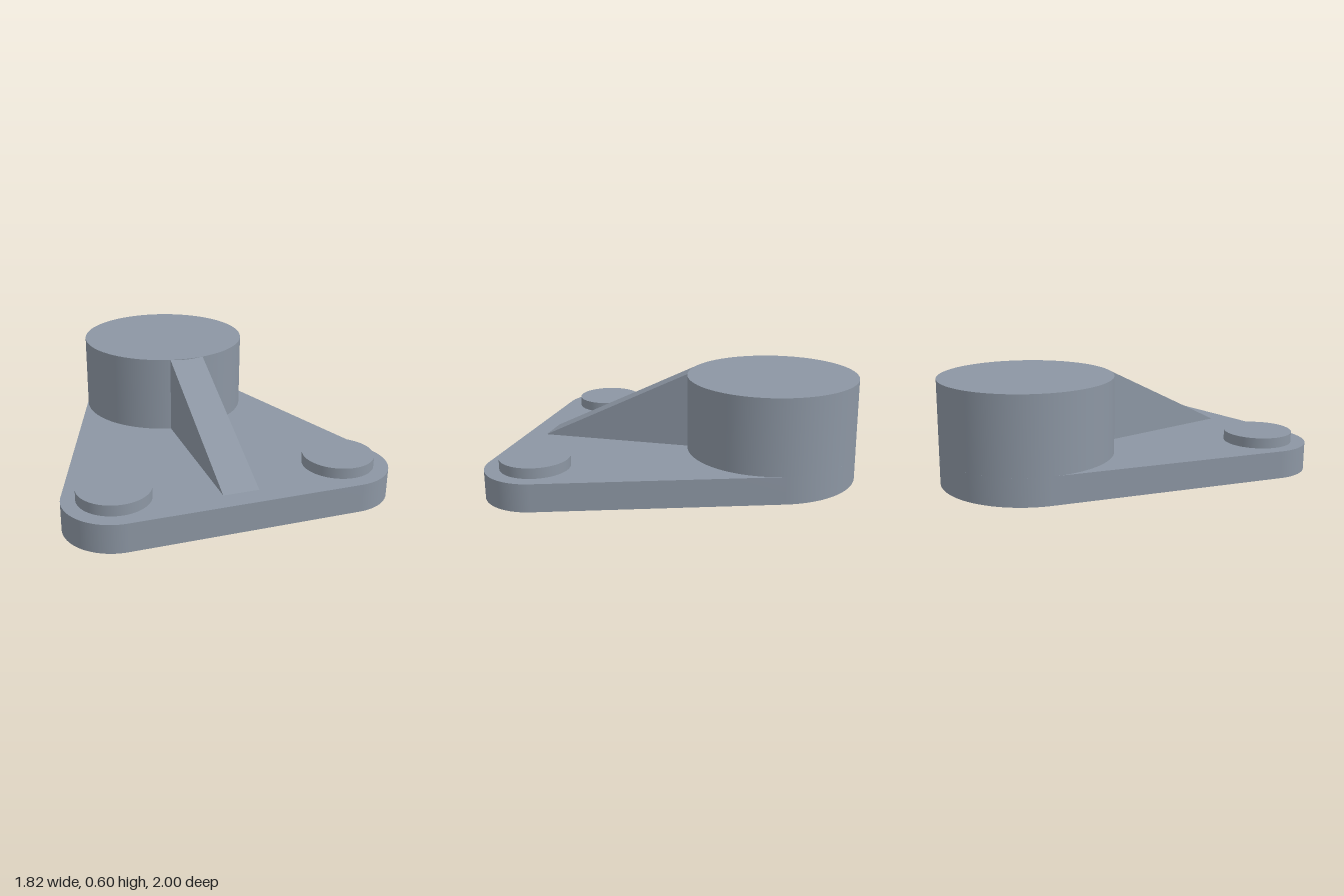
import * as THREE from 'three';
import { toCreasedNormals } from 'three/addons/utils/BufferGeometryUtils.js';

const BASE_H = 0.16, TOP = 0.6;
const HUB = { z: -0.505, r: 0.495 };
const CORNER = { x: 0.635, z: 0.725, r: 0.275 };

export function createModel() {
  const model = new THREE.Group();
  const steel = new THREE.MeshStandardMaterial({ color: 0x8c96a3 });
  steel.name = 'steel grey';

  const add = (name, geometry) => {
    const mesh = new THREE.Mesh(geometry, steel);
    mesh.name = name;
    model.add(mesh);
    return mesh;
  };
  const disc = (name, x, z, r, top) => {
    const h = top - BASE_H;
    add(name, new THREE.CylinderGeometry(r, r, h, 96)).position.set(x, BASE_H + h / 2, z);
  };

  // Base plate: one large and two small arcs joined by their tangents
  const dx = CORNER.x, dz = CORNER.z - HUB.z;
  const tilt = Math.acos((HUB.r - CORNER.r) / Math.hypot(dx, dz)) - Math.atan2(dz, dx);
  const outline = new THREE.Shape();
  outline.absarc(CORNER.x, -CORNER.z, CORNER.r, -Math.PI / 2, tilt);
  outline.absarc(0, -HUB.z, HUB.r, tilt, Math.PI - tilt);
  outline.absarc(-CORNER.x, -CORNER.z, CORNER.r, Math.PI - tilt, Math.PI * 1.5);
  const plate = new THREE.ExtrudeGeometry(outline, { depth: BASE_H, bevelEnabled: false, curveSegments: 48 });
  plate.rotateX(-Math.PI / 2);
  add('basePlate', toCreasedNormals(plate, 0.5));

  // Tall hub and the two low corner bosses
  disc('hub', 0, HUB.z, HUB.r, TOP);
  disc('leftBoss', CORNER.x, CORNER.z - 0.005, 0.197, 0.22);
  disc('rightBoss', -CORNER.x, CORNER.z - 0.005, 0.197, 0.22);

  // Sloping rib, drawn in side profile (z, y) and extruded across x
  const profile = new THREE.Shape([
    new THREE.Vector2(-0.02, BASE_H),
    new THREE.Vector2(0.88, BASE_H),
    new THREE.Vector2(-0.02, TOP),
  ]);
  const rib = new THREE.ExtrudeGeometry(profile, { depth: 0.2, bevelEnabled: false });
  rib.rotateY(-Math.PI / 2).translate(0.1, 0, 0);
  add('supportRib', rib);

  return model;
}
